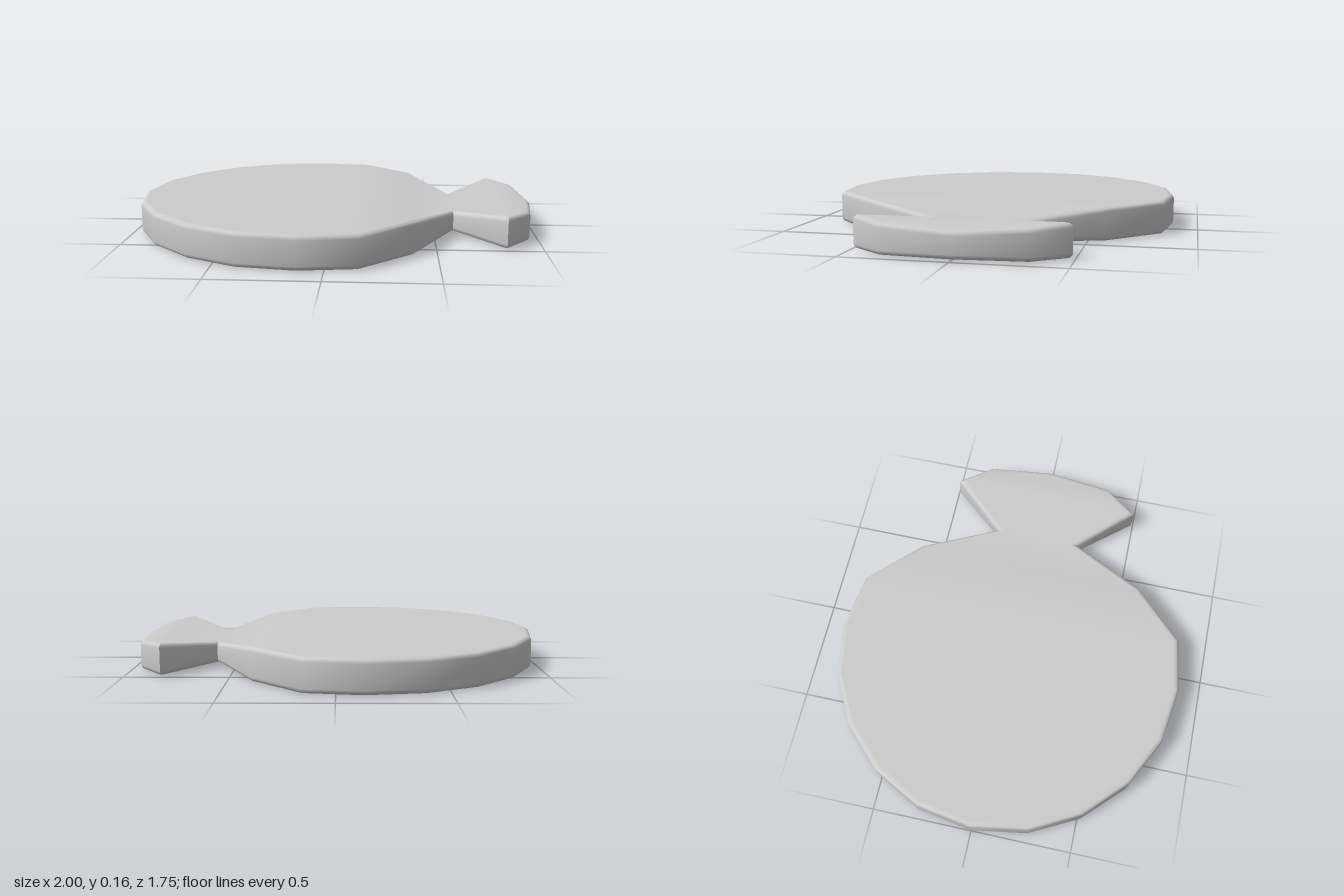
import * as THREE from 'three';
import { toCreasedNormals } from 'three/addons/utils/BufferGeometryUtils.js';

// Half outline from nose to tail end: x, z, underside y, top y
const HALF = [
  [-1, 0, 0, 0.16], [-0.955, 0.275, 0, 0.16], [-0.83, 0.515, 0, 0.16],
  [-0.635, 0.71, 0, 0.16], [-0.395, 0.835, 0, 0.16], [-0.12, 0.877, 0, 0.16],
  [0.15, 0.837, 0, 0.16], [0.395, 0.59, 0, 0.16], [0.595, 0.222, 0.016, 0.117],
  [0.827, 0.49, 0.003, 0.157], [0.952, 0.33, 0.004, 0.147], [1, 0, 0.009, 0.13],
];

// Move every corner inward by d, keeping the edges parallel
function inset(points, d) {
  const n = points.length;
  const inward = (a, b) => new THREE.Vector2(b[1] - a[1], a[0] - b[0]).normalize();
  return points.map((p, i) => {
    const n1 = inward(points[(i + n - 1) % n], p);
    const n2 = inward(p, points[(i + 1) % n]);
    const k = d / (1 + n1.dot(n2));
    return [p[0] + (n1.x + n2.x) * k, p[1] + (n1.y + n2.y) * k];
  });
}

function fishPlate() {
  const outline = [...HALF, ...HALF.slice(1, -1).reverse().map(([x, z, b, t]) => [x, -z, b, t])];
  const n = outline.length, radius = 0.022, steps = 4;

  // Rounded edge profile: inset and distance from the face
  const edge = [[radius + 0.008, 0]];
  for (let s = 0; s <= steps; s++) {
    const a = (s / steps) * Math.PI / 2;
    edge.push([radius * (1 - Math.sin(a)), radius * (1 - Math.cos(a))]);
  }
  const ring = ([d, h], top) => inset(outline, d).map(([x, z], i) =>
    [x, top ? outline[i][3] - h : outline[i][2] + h, z]);
  const rings = [...edge.map(e => ring(e, false)), ...edge.slice().reverse().map(e => ring(e, true))];

  const position = rings.flat(2), index = [];
  // Rim
  for (let r = 0; r < rings.length - 1; r++) {
    for (let i = 0; i < n; i++) {
      const j = (i + 1) % n;
      const a = r * n + i, b = r * n + j, c = b + n, d = a + n;
      index.push(a, b, c, a, c, d);
    }
  }
  // Top and underside, spanned across from one side to the other
  const top = (rings.length - 1) * n, last = HALF.length - 1;
  for (let i = 0; i < last; i++) {
    const j = i + 1, mi = (n - i) % n, mj = n - j;
    const tris = [];
    if (j < last) tris.push([i, j, mj]);
    else tris.push([i, j, mi]);
    if (i > 0 && j < last) tris.push([i, mj, mi]);
    for (const [a, b, c] of tris) index.push(top + a, top + b, top + c, a, c, b);
  }
  const geometry = new THREE.BufferGeometry();
  geometry.setAttribute('position', new THREE.Float32BufferAttribute(position, 3));
  geometry.setIndex(index);
  return toCreasedNormals(geometry, 0.75);
}

export function createModel() {
  const group = new THREE.Group();
  group.name = 'fishShapedPlate';
  const plate = new THREE.Mesh(fishPlate(), new THREE.MeshStandardMaterial({ color: 0xcccccc }));
  plate.name = 'bodyAndTail';
  group.add(plate);
  return group;
}
